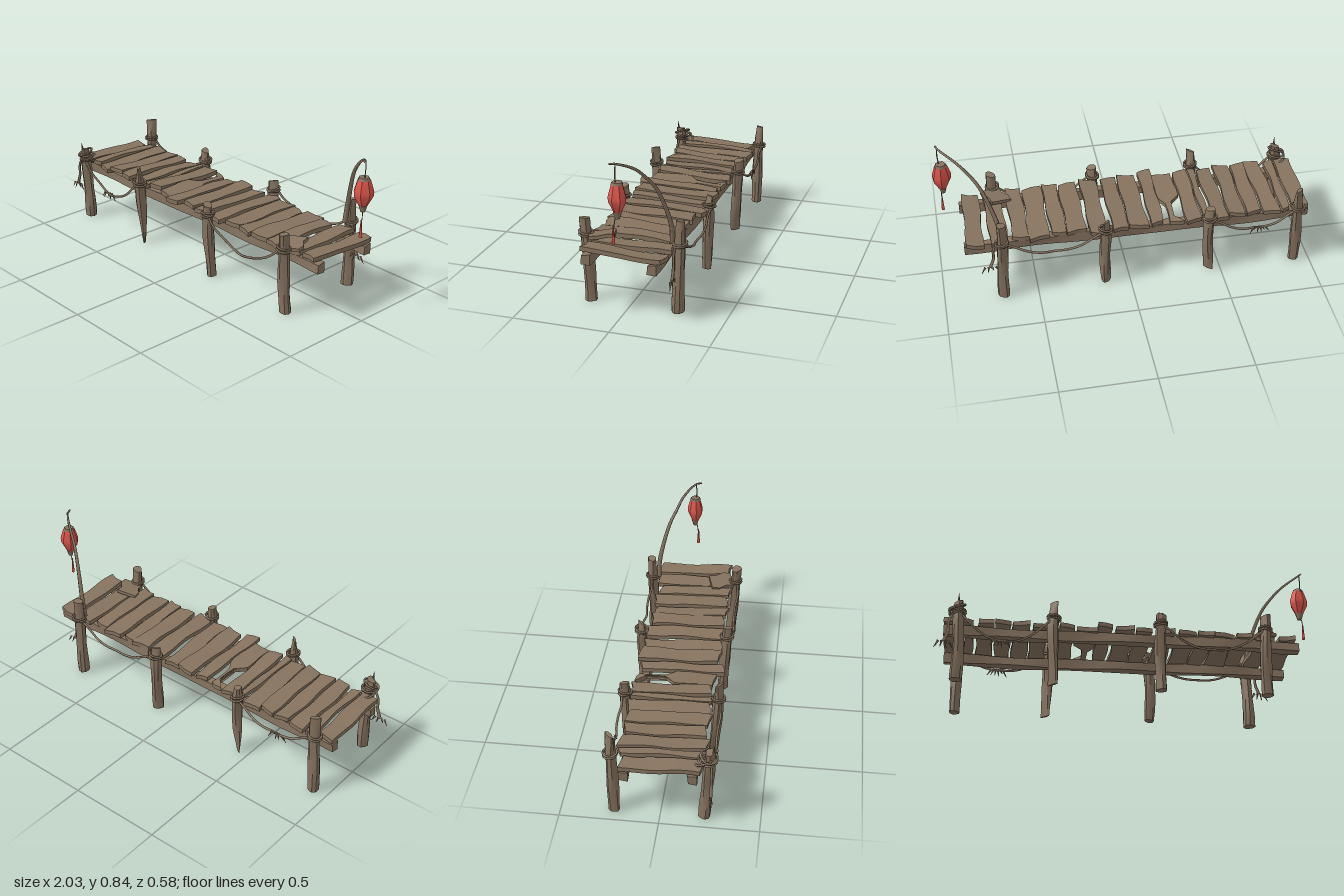
import * as THREE from 'three';
import { toCreasedNormals } from 'three/addons/utils/BufferGeometryUtils.js';

const V = (x, y, z) => new THREE.Vector3(x, y, z);

// Applies a vertex rule in place
function reshape(geo, rule) {
  const p = geo.attributes.position, v = V(0, 0, 0);
  for (let i = 0; i < p.count; i++) {
    v.fromBufferAttribute(p, i);
    rule(v);
    p.setXYZ(i, v.x, v.y, v.z);
  }
  return toCreasedNormals(geo, 0.6);
}

export function createModel() {
  const root = new THREE.Group();
  root.name = 'lanternPier';
  const wood = new THREE.MeshStandardMaterial({ color: 0x86735f });
  wood.name = 'weatheredWood';
  const red = new THREE.MeshStandardMaterial({ color: 0xdd564c, side: THREE.DoubleSide });
  red.name = 'lanternRed';

  function add(geo, name, mat = wood, parent = root) {
    const m = new THREE.Mesh(geo, mat);
    m.name = name;
    parent.add(m);
    return m;
  }

  // Tube along points whose radius runs from r0 to r1
  function taperedTube(pts, r0, r1, sides = 5, seg = 16) {
    const curve = new THREE.CatmullRomCurve3(pts.map(p => V(...p)));
    const geo = new THREE.TubeGeometry(curve, seg, 1, sides);
    const p = geo.attributes.position, v = V(0, 0, 0);
    for (let i = 0; i < p.count; i++) {
      const t = Math.floor(i / (sides + 1)) / seg, c = curve.getPointAt(t);
      v.fromBufferAttribute(p, i).sub(c).multiplyScalar(r0 + (r1 - r0) * t).add(c);
      p.setXYZ(i, v.x, v.y, v.z);
    }
    return geo;
  }

  // Deck planks: x from, x to, z from, z to
  const planks = [
    [-0.99, -0.90, -0.19, 0.21], [-0.885, -0.84, -0.21, 0.20], [-0.82, -0.735, -0.22, 0.22],
    [-0.725, -0.645, -0.21, 0.20], [-0.635, -0.55, -0.21, 0.21], [-0.54, -0.455, -0.22, 0.20],
    [-0.44, -0.405, -0.21, 0.21], [-0.395, -0.315, -0.22, 0.19], [-0.31, -0.20, -0.21, 0.20],
    [-0.195, -0.125, -0.20, 0.24], [-0.105, -0.005, -0.22, 0.21], [0.0, 0.085, -0.21, 0.21],
    [0.115, 0.205, -0.23, 0.22], [0.225, 0.325, -0.20, 0.20], [0.33, 0.41, -0.19, 0.21],
    [0.42, 0.525, -0.21, 0.20], [0.53, 0.615, -0.19, 0.21], [0.64, 0.735, -0.22, 0.19],
    [0.765, 0.855, -0.22, 0.19],
  ];
  const deck = new THREE.Group();
  deck.name = 'deck';
  root.add(deck);
  planks.forEach(([x0, x1, z0, z1], i) => {
    const w = x1 - x0, l = z1 - z0;
    const geo = reshape(new THREE.BoxGeometry(w, 0.024, l, 2, 1, 8), v => {
      const side = Math.sign(v.x), z = v.z;
      v.x += 0.004 * Math.sin(z * 23 + i * 2.3 + side) + 0.02 * z * Math.sin(i * 4.1);
      v.y += 0.004 * Math.sin(z * 14 + i * 1.7) + 0.012 * z * Math.sin(i * 2.9) + 0.03 * z;
      v.y += 0.08 * v.x * Math.sin(i * 5.3);
      if (Math.abs(z) > l * 0.49) v.z += 0.01 * Math.sin(side * 2 + i * 3.1);
      // Rotten bite out of one plank
      if (i === 8) {
        const worldZ = z + (z0 + z1) / 2;
        if (worldZ < 0 && side < 0) v.x += 0.06 * Math.min(1, -worldZ / 0.06) * (worldZ < -0.18 ? 0.2 : 1);
        if (worldZ < -0.02 && side > 0) v.x -= 0.025;
      }
    });
    add(geo, 'plank', wood, deck)
      .position.set((x0 + x1) / 2, 0.331 + 0.004 * Math.sin(i * 2.1), (z0 + z1) / 2);
  });

  // Loose broken board by the front post
  const scrap = add(reshape(new THREE.BoxGeometry(0.11, 0.018, 0.13, 2, 1, 3), v => {
    v.x += 0.015 * Math.sin(v.z * 40);
  }), 'looseBoard', wood, deck);
  scrap.position.set(0.67, 0.356, 0.15);
  scrap.rotation.set(0.08, 0.3, 0.12);

  // Long beams and short cross blocks under the deck
  for (const [z, y] of [[0.165, 0.288], [-0.172, 0.278]]) {
    const geo = reshape(new THREE.BoxGeometry(1.86, 0.05, 0.044, 24, 1, 1), v => {
      const s = Math.sign(v.y) + 2 * Math.sign(v.z);
      v.y += 0.004 * Math.sin(v.x * 9 + s) + 0.006 * Math.sin(v.x * 2.5);
      v.z += 0.003 * Math.sin(v.x * 13 + s * 2);
    });
    add(geo, 'longBeam').position.set(-0.06, y + 0.006, z);
  }

  // Posts: x, z, height, bottom squeeze, top squeeze, squeeze direction in z
  const posts = [
    [-0.915, 0.232, 0.42, 1, 0.8, -1], [-0.43, 0.23, 0.45, 0.2, 0.25, -1],
    [0.125, 0.225, 0.415, 0.8, 0.8, -1], [0.68, 0.225, 0.44, 1, 0.85, -1],
    [-0.915, -0.24, 0.475, 0.9, 0.35, 1], [-0.43, -0.24, 0.42, 0.2, 0.7, -1],
    [0.13, -0.235, 0.41, 0.7, 0.25, 1], [0.68, -0.25, 0.48, 1, 0.8, 1],
  ];
  posts.forEach(([x, z, h, low, high, dir], i) => {
    const axis = V(1, 0, dir).normalize();
    const geo = reshape(new THREE.CylinderGeometry(0.028, 0.031, h, 9, 8), v => {
      const t = v.y / h + 0.5, a = Math.atan2(v.z, v.x);
      const k = 1 + 0.08 * Math.sin(3 * a + i * 2 + t * 4) + 0.06 * Math.sin(t * 11 + i);
      v.x *= k;
      v.z *= k;
      const squeeze = THREE.MathUtils.lerp(low, 1, Math.min(1, t / 0.45))
        * THREE.MathUtils.lerp(high, 1, Math.min(1, (1 - t) / 0.25));
      const d = v.x * axis.x + v.z * axis.z;
      v.addScaledVector(axis, d * (squeeze - 1));
      // Slight bend, and a slanted top cut
      v.z += (t - 0.5) * 0.025 * (z > 0 ? 1 : -0.5);
      v.x += 0.004 * Math.sin(t * 5 + i);
      if (t > 0.99) v.y += 0.3 * v.x * Math.sin(i * 2 + 1);
    });
    const post = new THREE.Group();
    post.name = 'post';
    root.add(post);
    post.position.set(x, 0, z);
    add(geo, 'postShaft', wood, post).position.y = h / 2;

    // Rope wound round the post
    for (let k = 0; k < 2; k++) {
      const ring = add(new THREE.TorusGeometry(0.034, 0.006, 5, 14), 'ropeWrap', wood, post);
      ring.position.set(0, 0.355 + k * 0.012, z > 0 ? 0.008 : -0.005);
      ring.rotation.set(Math.PI / 2 + 0.15 * Math.sin(i + k * 2), 0.15 * Math.cos(i * 3 + k), 0);
    }
  });

  // Splintered tip and slack loops on the front left-hand corner post
  const splinter = add(new THREE.ConeGeometry(0.018, 0.13, 5), 'splinter');
  splinter.position.set(-0.92, 0.4, 0.258);
  splinter.rotation.x = 0.12;
  for (let k = 0; k < 3; k++) {
    const loop = add(new THREE.TorusGeometry(0.042, 0.006, 5, 16), 'slackLoop');
    loop.position.set(-0.925, 0.36 + k * 0.018, 0.215 + 0.012 * k);
    loop.rotation.set(1.2 + k * 0.35, 0.3 * k - 0.3, 0);
  }

  // Frayed strands hanging from a point
  function fray(x, y, z, n = 5) {
    for (let k = 0; k < n; k++) {
      const s = (k - (n - 1) / 2) / n;
      add(taperedTube([[x + s * 0.07, y + 0.01, z], [x + s * 0.1, y - 0.012, z + 0.006 * Math.sin(k * 2)],
        [x + s * 0.13, y - 0.028 - 0.01 * Math.sin(k * 3), z + 0.012 * Math.sin(k * 2)]], 0.007, 0.001, 4, 3), 'frayedStrand');
    }
  }

  // Sagging ropes: x from, x to, z, lowest height
  for (const [x0, x1, z, low, frayed] of [
    [-0.915, -0.43, 0.25, 0.21, true], [0.125, 0.68, 0.245, 0.225, false],
    [-0.915, -0.43, -0.262, 0.265, true], [0.13, 0.68, -0.258, 0.265, false],
  ]) {
    const pts = [];
    for (let k = 0; k <= 8; k++) {
      const t = k / 8, u = 2 * t - 1;
      pts.push([x0 + (x1 - x0) * t, low + (0.365 - low) * u * u, z + 0.006 * Math.sin(k * 2)]);
    }
    add(taperedTube(pts, 0.0065, 0.0065, 5, 24), 'saggingRope');
    if (frayed) fray((x0 + x1) / 2 - 0.03, low, z, 6);
  }

  // Loose rope ends on the corner posts
  for (const [x, z, dir] of [[-0.94, 0.255, -1], [0.7, -0.235, 1]]) {
    add(taperedTube([[x, 0.36, z], [x + dir * 0.025, 0.3, z], [x + dir * 0.025, 0.25, z],
      [x + dir * 0.045, 0.19, z]], 0.006, 0.009), 'ropeEnd');
    fray(x + dir * 0.045, 0.185, z, 4);
  }

  // Bowed lantern pole
  add(taperedTube([[0.675, 0.36, -0.215], [0.69, 0.46, -0.213], [0.76, 0.66, -0.165],
    [0.81, 0.73, -0.13], [0.87, 0.79, -0.095], [0.95, 0.835, -0.03], [0.962, 0.836, 0.0]],
  0.014, 0.005, 6, 22), 'lanternPole');

  // Hanging lantern
  const lantern = new THREE.Group();
  lantern.name = 'lantern';
  lantern.position.set(0.945, 0, -0.034);
  root.add(lantern);
  const lathe = pts => {
    const g = new THREE.LatheGeometry(pts.map(p => new THREE.Vector2(...p)), 7);
    g.scale(1.1, 1, 0.95);
    return toCreasedNormals(g, 0.6);
  };
  const shade = add(lathe([[0.02, 0.598], [0.045, 0.65], [0.047, 0.675], [0.03, 0.735]]), 'lanternShade', red, lantern);
  shade.rotation.y = 0.4;
  const cap = add(new THREE.CylinderGeometry(0.026, 0.031, 0.014, 7), 'lanternCap', wood, lantern);
  cap.position.set(0, 0.74, 0);
  cap.rotation.y = 0.4;
  const base = add(new THREE.CylinderGeometry(0.022, 0.012, 0.034, 7), 'lanternBase', wood, lantern);
  base.position.y = 0.583;
  base.rotation.y = 0.4;
  add(taperedTube([[0.01, 0.838, 0.004], [0.012, 0.79, 0.006], [0.008, 0.745, 0.006]], 0.003, 0.003, 4, 4), 'lanternCord', wood, lantern);
  add(taperedTube([[0.006, 0.57, 0.008], [0.01, 0.55, 0.012], [0.01, 0.52, 0.016]], 0.0025, 0.0025, 4, 4), 'tasselCord', wood, lantern);
  const tassel = add(new THREE.CylinderGeometry(0.003, 0.009, 0.09, 6), 'tassel', red, lantern);
  tassel.position.set(0.01, 0.484, 0.019);

  return root;
}
